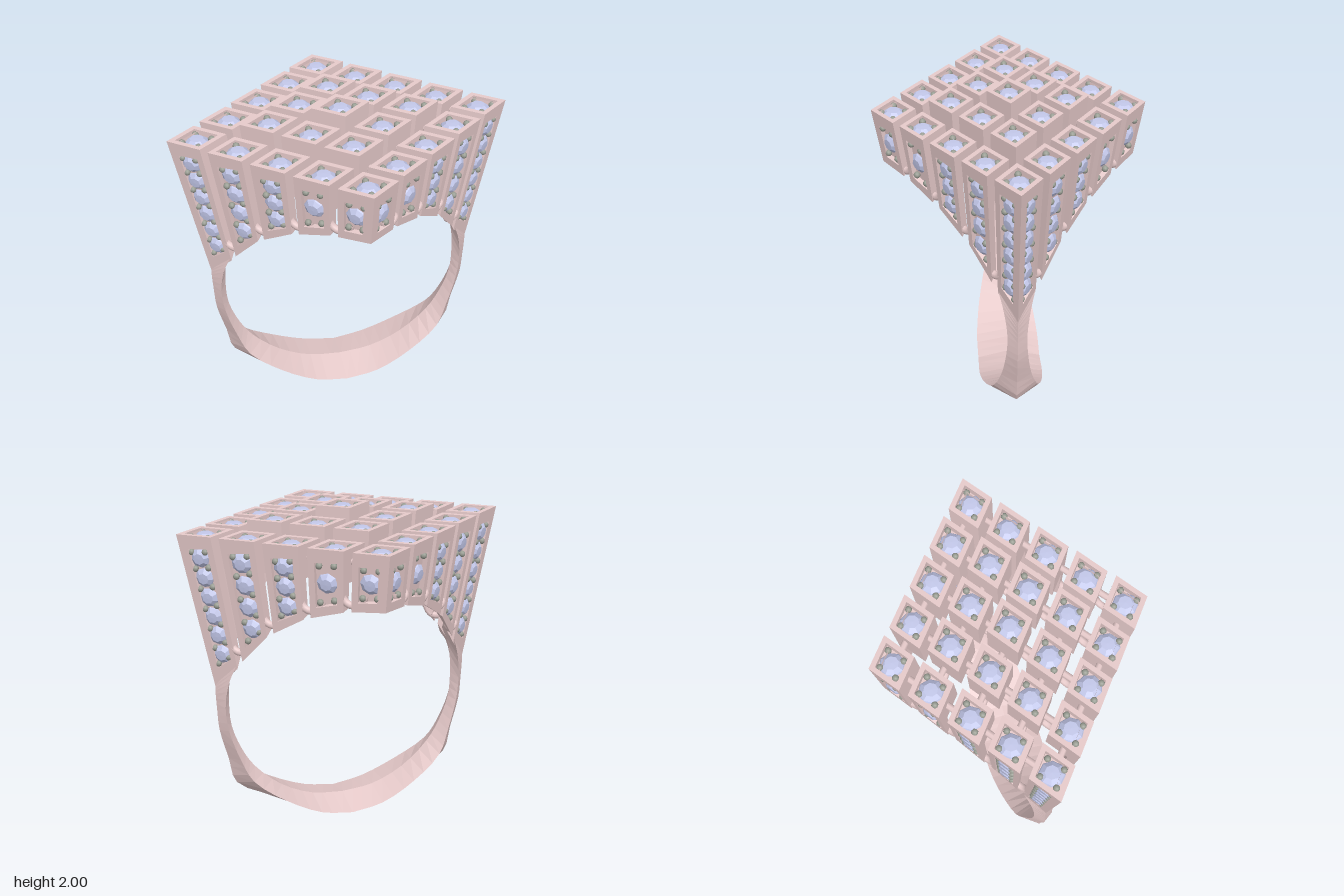
import * as THREE from 'three';

const metal = new THREE.MeshStandardMaterial({ color: 0xe6caca, flatShading: true });
const smoothMetal = new THREE.MeshStandardMaterial({ color: 0xe6caca });
const gemMat = new THREE.MeshStandardMaterial({ color: 0xc3c8ea, flatShading: true });
const beadMat = new THREE.MeshStandardMaterial({ color: 0x9a9e94 });

const UP = new THREE.Vector3(0, 1, 0);
const V = (x, y, z) => new THREE.Vector3(x, y, z);
const gemGeo = new THREE.LatheGeometry(
  [[0, -0.5], [1, 0], [0.92, 0.12], [0.55, 0.4], [0, 0.42]].map(p => new THREE.Vector2(...p)), 8);
const beadGeo = new THREE.SphereGeometry(0.02, 8, 6);
const rodGeo = new THREE.CylinderGeometry(0.02, 0.02, 0.17, 8);
const hoopGeo = new THREE.TorusGeometry(0.065, 0.022, 8, 10, Math.PI);

// Lattice of 5 x 5 rhombic cells
const STEP_X = 0.205, STEP_Z = 0.165, HALF_X = 0.167, HALF_Z = 0.127;
const HOLE_Y = 0.835, HOLE_R = 0.73;
const lean = y => 1 - 0.2 * (1.9 - Math.min(y, 1.9)); // skirts draw inward on the way down

function mesh(geo, mat, name, pos, parent) {
  const m = new THREE.Mesh(geo, mat);
  m.name = name;
  if (pos) m.position.copy(pos);
  parent.add(m);
  return m;
}

function quad(out, a, b, c, d) {
  for (const p of [a, b, c, a, c, d]) out.push(p.x, p.y, p.z);
}

function solid(out) {
  const g = new THREE.BufferGeometry();
  g.setAttribute('position', new THREE.Float32BufferAttribute(out, 3));
  g.computeVertexNormals();
  return g;
}

// Point on a four-cornered face
const onFace = (p, u, v) =>
  p[0].clone().lerp(p[1], u).lerp(p[3].clone().lerp(p[2], u), v);

const faceNormal = p =>
  p[2].clone().sub(p[0]).cross(p[3].clone().sub(p[1])).normalize();

// Face with a sunken panel
function recess(out, p, u0, u1, v0, v1, depth) {
  const q = [[u0, v0], [u1, v0], [u1, v1], [u0, v1]].map(([u, v]) => onFace(p, u, v));
  const n = faceNormal(p);
  const r = q.map(a => a.clone().addScaledVector(n, -depth));
  for (let k = 0; k < 4; k++) {
    const m = (k + 1) % 4;
    quad(out, p[k], p[m], q[m], q[k]);
    quad(out, q[k], q[m], r[m], r[k]);
  }
  quad(out, ...r);
}

function addGem(parent, pos, normal, r, spin) {
  const g = mesh(gemGeo, gemMat, 'gem', pos, parent);
  g.scale.setScalar(r);
  g.quaternion.setFromUnitVectors(UP, normal);
  g.rotateY(spin);
}

// Height at which a vertical edge meets the finger hole
function cutHeight(x) {
  let y = 1.9;
  while (y > 0.95 && Math.hypot(x * lean(y), y - HOLE_Y) > HOLE_R) y -= 0.004;
  return y;
}

const leaning = (x, y, z) => V(x * lean(y), y, z * lean(y));

// Side k of a block with given top and bottom corners
const sideFace = (bot, top, k) => [bot[(k + 1) % 4], bot[k], top[k], top[(k + 1) % 4]];

// Gem-set skirt plate hanging from a rim cell down to the finger hole
function skirt(plan, topY, count) {
  const group = new THREE.Group();
  group.name = 'skirtPlate';
  const top = plan.map(([x, z]) => V(x, topY, z));
  const bot = plan.map(([x, z]) => leaning(x, cutHeight(x), z));
  const out = [];
  for (const k of [1, 2, 3]) quad(out, ...sideFace(bot, top, k));
  quad(out, ...bot);

  const face = sideFace(bot, top, 0);
  const height = topY - onFace(face, 0.5, 0).y;
  const v0 = (count === 6 ? 0.085 : 0.055) / height, v1 = 1 - 0.08 / height;
  recess(out, face, 0.18, 0.82, v0, v1, 0.03);
  mesh(solid(out), metal, 'plate', null, group);

  const n = faceNormal(face), pitch = (v1 - v0) / count;
  const r = Math.min(0.062, pitch * height * 0.5);
  for (let c = 0; c <= count; c++) {
    const v = v0 + c * pitch;
    if (c < count)
      addGem(group, onFace(face, 0.5, v + pitch / 2).addScaledVector(n, -0.022), n, r, c);
    const vb = Math.min(Math.max(v, v0 + 0.022 / height), v1 - 0.022 / height);
    for (const u of [0.29, 0.71])
      mesh(beadGeo, beadMat, 'bead', onFace(face, u, vb).addScaledVector(n, -0.016), group);
  }
  return group;
}

function cell(i, j) {
  const group = new THREE.Group();
  const cx = (i - j) * STEP_X, cz = (i + j - 4) * STEP_Z;
  const layer = Math.max(Math.abs(i - 2), Math.abs(j - 2));
  group.name = layer === 2 ? 'rimCell' : 'innerCell';
  const topY = 2 - 0.05 * layer;
  const plan = [[HALF_X, 0], [0, HALF_Z], [-HALF_X, 0], [0, -HALF_Z]]
    .map(([x, z]) => [cx + x, cz + z]);
  const top = plan.map(([x, z]) => V(x, topY, z));
  const bot = plan.map(([x, z]) => leaning(x, topY - 0.2, z));
  const out = [];

  // Top setting with four beads, open frame below
  recess(out, [top[0], top[3], top[2], top[1]], 0.14, 0.86, 0.14, 0.86, 0.045);
  addGem(group, V(cx, topY - 0.034, cz), UP, 0.073, i + j * 0.7);
  for (const [dx, dz] of [[0.083, 0], [-0.083, 0], [0, 0.066], [0, -0.066]])
    mesh(beadGeo, beadMat, 'bead', V(cx + dx, topY - 0.021, cz + dz), group);
  recess(out, bot, 0.18, 0.82, 0.18, 0.82, 0.12);

  // Sides: rim sides carry a skirt plate
  const rim = [i === 4, j === 4, i === 0, j === 0];
  const count = [1, 1, 3, 4, 6][Math.abs(i - j)];
  for (let k = 0; k < 4; k++) {
    if (!rim[k]) { quad(out, ...sideFace(bot, top, k)); continue; }
    const [a, b, c, d] = [0, 1, 2, 3].map(s => plan[(k + s) % 4]);
    const inward = (p, q) => p.map((e, s) => e + (q[s] - e) * 0.27);
    group.add(skirt([a, b, inward(b, c), inward(a, d)], topY, count));
  }
  mesh(solid(out), metal, 'frame', null, group);
  return group;
}

// Rod and hanging hoop between two neighbouring cells
function link(i, j, di, dj) {
  const group = new THREE.Group();
  group.name = 'link';
  const a = i + di / 2, b = j + dj / 2;
  const x = (a - b) * STEP_X, z = (a + b - 4) * STEP_Z;
  const dir = V((di - dj) * STEP_X, 0, (di + dj) * STEP_Z).normalize();
  mesh(rodGeo, smoothMetal, 'rod', V(x, 1.82, z), group)
    .quaternion.setFromUnitVectors(UP, dir);
  // Hoops on the rim sit low, at the foot of the skirt plates
  const edge = di ? j : i;
  let pos = V(x, 1.77, z);
  if (edge === 0 || edge === 4) {
    const out = V(dir.z, 0, -dir.x).multiplyScalar(0.07); // toward the rim
    if (out.x * x + out.z * z < 0) out.negate();
    const px = x + out.x, pz = z + out.z;
    pos = leaning(px, cutHeight(px) + 0.09, pz);
  }
  mesh(hoopGeo, smoothMetal, 'hoop', pos, group)
    .rotation.set(0, -Math.atan2(dir.z, dir.x), Math.PI);
  return group;
}

// Shank: diamond section with an outer ridge, lofted around the finger
function shank() {
  // [outer x, y, side edge x, y, inner x, y, half width]
  const half = [
    [0, 0.005, 0, 0.06, 0, 0.11, 0.2],
    [0.2, 0.06, 0.2, 0.095, 0.2, 0.133, 0.2],
    [0.45, 0.155, 0.42, 0.2, 0.4, 0.225, 0.175],
    [0.69, 0.29, 0.61, 0.34, 0.57, 0.38, 0.13],
    [0.735, 0.46, 0.68, 0.48, 0.65, 0.51, 0.09],
    [0.785, 0.66, 0.74, 0.67, 0.71, 0.68, 0.064],
    [0.795, 0.8, 0.755, 0.82, 0.72, 0.84, 0.057],
    [0.8, 0.9, 0.735, 0.98, 0.705, 1.02, 0.076],
    [0.8, 0.96, 0.695, 1.1, 0.66, 1.17, 0.105],
  ];
  const rail = pick => new THREE.CatmullRomCurve3(half.map(pick));
  const rails = [
    rail(h => V(h[0], h[1], 0)),
    rail(h => V(h[2], h[3], h[6])),
    rail(h => V(h[4], h[5], 0)),
    rail(h => V(h[2], h[3], -h[6])),
  ];
  const steps = (half.length - 1) * 3;
  const rings = [];
  for (let s = -steps; s <= steps; s++)
    rings.push(rails.map(c => {
      const p = c.getPoint(Math.abs(s) / steps);
      if (s < 0) p.x = -p.x;
      return p;
    }));
  const out = [];
  for (let s = 0; s + 1 < rings.length; s++)
    for (let k = 0; k < 4; k++) {
      const m = (k + 1) % 4;
      quad(out, rings[s][k], rings[s + 1][k], rings[s + 1][m], rings[s][m]);
    }
  // End caps where the shank meets the corner skirts
  const last = rings[rings.length - 1];
  quad(out, ...last);
  quad(out, ...[...rings[0]].reverse());
  return solid(out);
}

export function createModel() {
  const model = new THREE.Group();
  model.name = 'ring';
  mesh(shank(), metal, 'shank', null, model);
  for (let i = 0; i < 5; i++)
    for (let j = 0; j < 5; j++) {
      model.add(cell(i, j));
      if (i < 4) model.add(link(i, j, 1, 0));
      if (j < 4) model.add(link(i, j, 0, 1));
    }
  return model;
}
